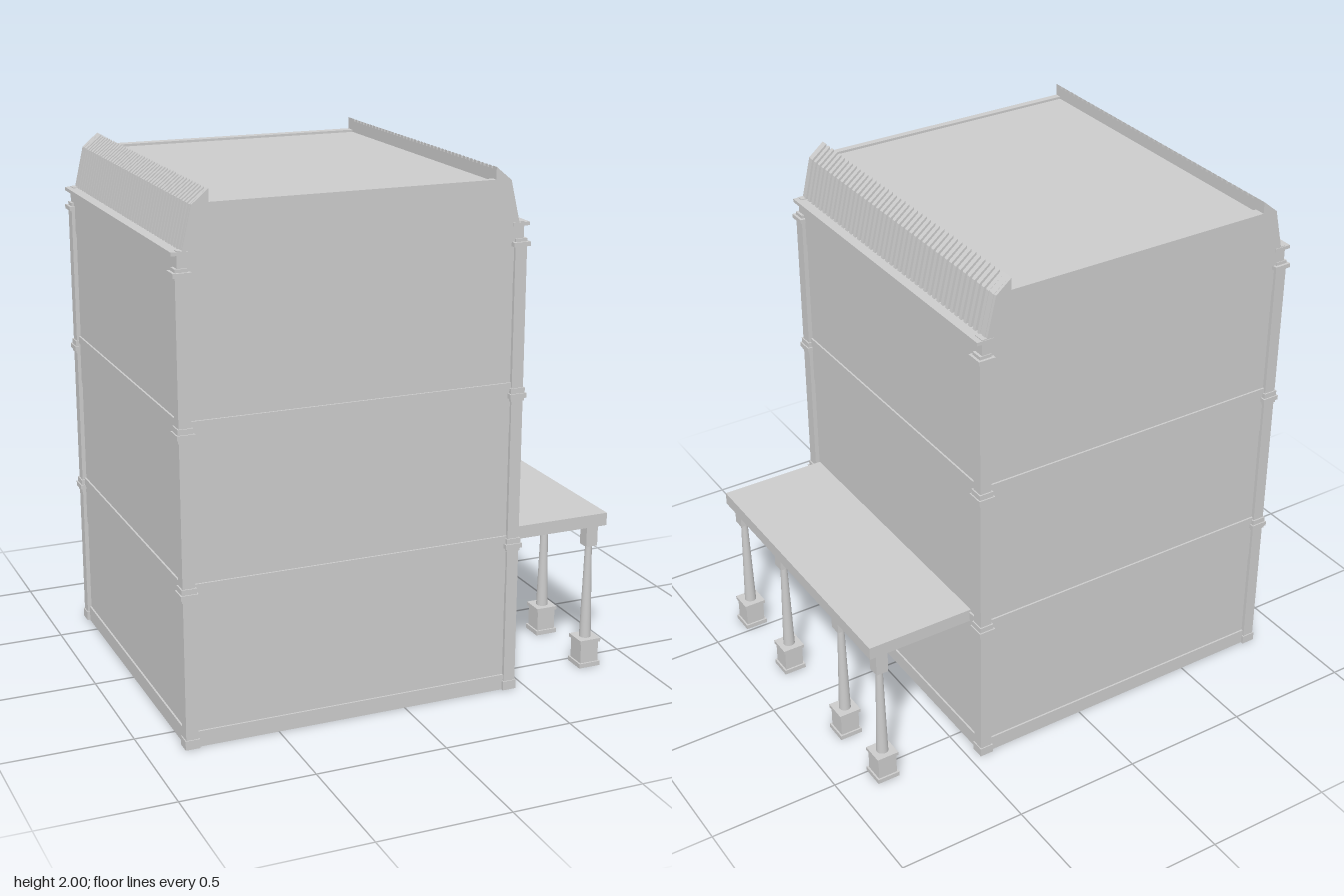
import * as THREE from 'three';

const mat = new THREE.MeshStandardMaterial({ color: 0xcccccc, side: THREE.DoubleSide });

function mesh(name, geo, x, y, z, parent) {
  const m = new THREE.Mesh(geo, mat);
  m.name = name;
  m.position.set(x, y, z);
  parent.add(m);
  return m;
}

// Box given by its centre in x/z and its bottom and top heights
function block(name, w, d, y0, y1, x, z, parent) {
  return mesh(name, new THREE.BoxGeometry(w, y1 - y0, d), x, (y0 + y1) / 2, z, parent);
}

// Outline in x/y extruded along z, from z0 to z1
function prism(name, points, z0, z1, parent) {
  const shape = new THREE.Shape(points.map(([x, y]) => new THREE.Vector2(x, y)));
  const geo = new THREE.ExtrudeGeometry(shape, { depth: z1 - z0, bevelEnabled: false });
  return mesh(name, geo, 0, 0, z0, parent);
}

// One wall: per storey a base strip, a slightly recessed panel and a lintel
function wall(name, width) {
  const g = new THREE.Group();
  g.name = name;
  const floors = [[0, 0.06, 0.43, 0.59], [0.59, 0.62, 1.02, 1.18], [1.18, 1.21, 1.62, 1.74]];
  for (const [a, b, c, d] of floors) {
    block('baseStrip', width, 0.032, a, b, 0, 0, g);
    block('wallPanel', width, 0.018, b, c, 0, 0, g);
    block('lintel', width, 0.024, c, d, 0, 0, g);
  }
  return g;
}

// Square corner pillar with foot, storey bands and capital
function cornerPillar() {
  const g = new THREE.Group();
  g.name = 'cornerPillar';
  block('pillarShaft', 0.046, 0.046, 0, 1.74, 0, 0, g);
  block('pillarFoot', 0.054, 0.054, 0, 0.035, 0, 0, g);
  for (const y of [0.56, 1.14]) {
    block('bandNeck', 0.054, 0.054, y, y + 0.015, 0, 0, g);
    block('bandRing', 0.066, 0.066, y + 0.012, y + 0.03, 0, 0, g);
    block('bandTop', 0.056, 0.056, y + 0.03, y + 0.05, 0, 0, g);
  }
  block('capital', 0.066, 0.066, 1.712, 1.728, 0, 0, g);
  return g;
}

// Tapered round porch column on a square pedestal
function porchColumn() {
  const g = new THREE.Group();
  g.name = 'porchColumn';
  block('plinth', 0.09, 0.09, 0, 0.018, 0, 0, g);
  block('pedestal', 0.076, 0.076, 0.018, 0.1, 0, 0, g);
  block('pedestalCap', 0.088, 0.088, 0.1, 0.114, 0, 0, g);
  mesh('shaft', new THREE.CylinderGeometry(0.013, 0.023, 0.38, 20), 0, 0.304, 0, g);
  block('columnHead', 0.048, 0.048, 0.494, 0.582, 0, 0, g);
  return g;
}

export function createModel() {
  const model = new THREE.Group();
  model.name = 'townhouse';

  // Main block, centred on its own axis
  const house = new THREE.Group();
  house.name = 'house';
  house.position.x = -0.2;
  model.add(house);

  const off = 0.632;
  for (const s of [1, -1]) {
    const fw = wall(s > 0 ? 'frontWall' : 'backWall', 1.226);
    fw.position.z = s * off;
    const sw = wall(s > 0 ? 'leftWall' : 'rightWall', 1.204);
    sw.position.x = s * off;
    sw.rotation.y = Math.PI / 2;
    house.add(fw, sw);
    for (const t of [1, -1]) {
      const p = cornerPillar();
      p.position.set(s * off, 0, t * off);
      house.add(p);
    }
  }

  // Front and back gable walls that follow the roof outline
  const half = [[0.645, 1.73], [0.645, 1.8], [0.625, 1.8], [0.59, 1.95], [0.53, 2.0], [0.53, 1.955]];
  const outline = [...half, ...half.map(([x, y]) => [-x, y]).reverse()];
  prism('frontGable', outline, 0.622, 0.648, house);
  prism('backGable', outline, -0.652, -0.61, house);

  // Flat roof
  block('flatRoof', 1.07, 1.24, 1.925, 1.946, 0, 0.005, house);

  // Steep ribbed roof edges with cornices, mirrored left and right
  for (const s of [1, -1]) {
    const m = (pts) => pts.map(([x, y]) => [s * x, y]);
    prism('mansard', m([[0.617, 1.79], [0.583, 1.945], [0.53, 1.99], [0.53, 1.925], [0.57, 1.925], [0.6, 1.79]]), -0.63, 0.63, house);
    const rib = m([[0.628, 1.795], [0.592, 1.95], [0.53, 2.0], [0.53, 1.97], [0.58, 1.94], [0.613, 1.795]]);
    const count = 44;
    for (let i = 0; i < count; i++) {
      const z = -0.632 + (1.26 * i) / (count - 1);
      prism('roofRib', rib, z - 0.008, z + 0.008, house);
    }
    block('fascia', 0.03, 1.26, 1.73, 1.79, s * 0.63, 0, house);
    block('cornice', 0.065, 1.305, 1.784, 1.797, s * 0.633, -0.002, house);
  }

  // Side porch: slab roof on four columns
  const porch = new THREE.Group();
  porch.name = 'porch';
  model.add(porch);
  block('porchRoof', 0.435, 1.165, 0.58, 0.63, 0.6475, 0.0175, porch);
  for (const z of [0.557, 0.212, -0.25, -0.538]) {
    const c = porchColumn();
    c.position.set(0.815, 0, z);
    porch.add(c);
  }
  return model;
}
